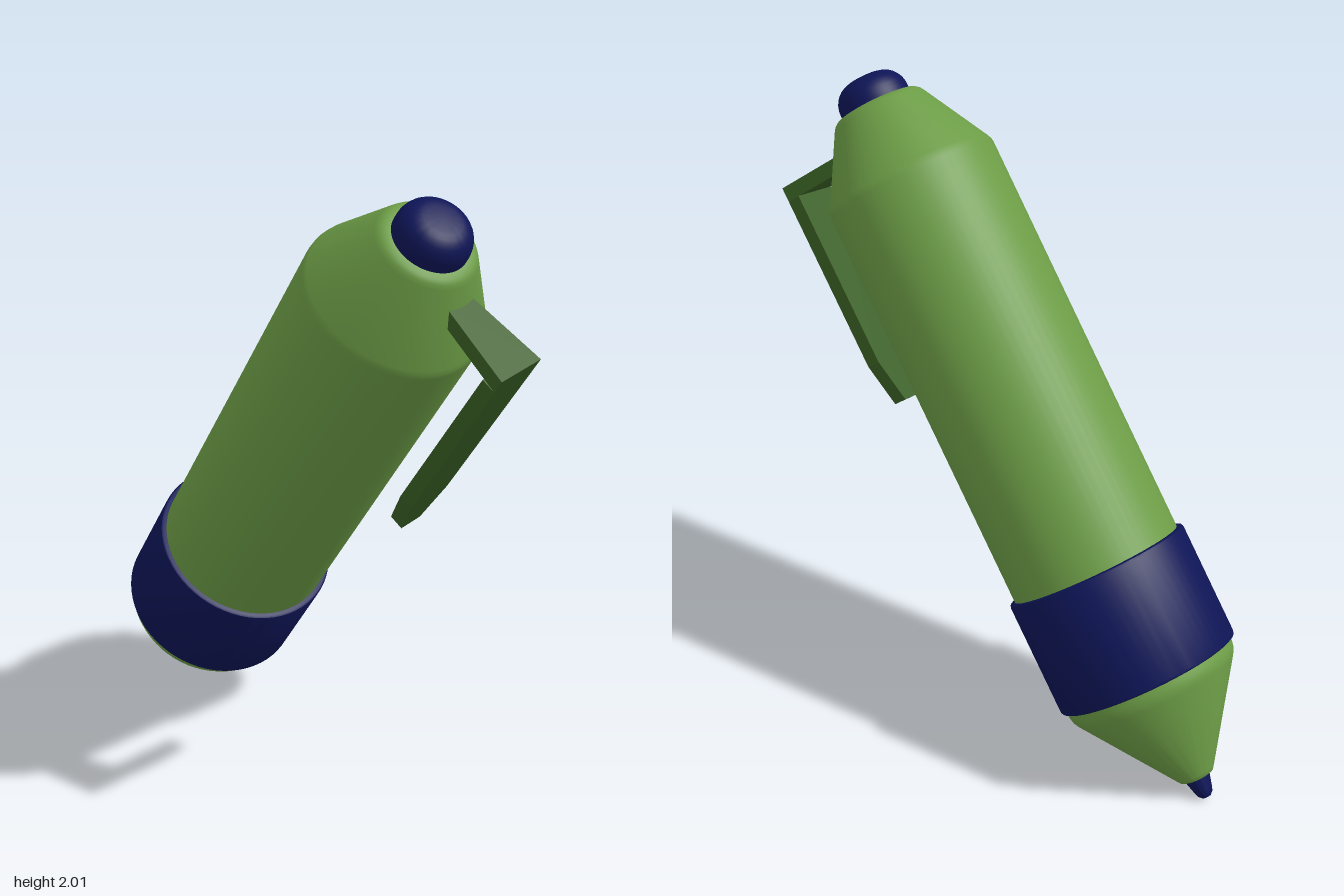
import * as THREE from 'three';
import { toCreasedNormals } from 'three/addons/utils/BufferGeometryUtils.js';

const material = (color) => new THREE.MeshStandardMaterial({ color });

export function createModel() {
  const model = new THREE.Group();
  model.name = 'pen';
  const green = material(0x6c9c46);
  const darkGreen = material(0x3a6024);
  const blue = material(0x0e1556);

  // The pen is built upright along y, then leaned over
  const pen = new THREE.Group();
  pen.name = 'tiltedPen';
  pen.position.set(-0.61, 0.344, -0.097);
  pen.rotation.set(0.159, 0, -0.65);
  model.add(pen);

  const add = (name, geometry, mat, parent = pen) => {
    const mesh = new THREE.Mesh(geometry, mat);
    mesh.name = name;
    parent.add(mesh);
    return mesh;
  };

  // Round parts: profile of [radius, height], bottom to top
  const turned = (name, profile, mat) => {
    const points = profile.map(([r, y]) => new THREE.Vector2(r, y));
    add(name, toCreasedNormals(new THREE.LatheGeometry(points, 64), 0.6), mat);
  };

  turned('writingTip', [
    [0, -0.432], [0.015, -0.43], [0.025, -0.42], [0.03, -0.405], [0.045, -0.35], [0, -0.35],
  ], blue);

  turned('nibCone', [
    [0, -0.362], [0.045, -0.362], [0.056, -0.358], [0.065, -0.346],
    [0.268, -0.055], [0.278, -0.037], [0.282, -0.018], [0.282, 0.01], [0, 0.01],
  ], green);

  turned('gripCollar', [
    [0.2, 0], [0.29, 0], [0.296, 0.003], [0.299, 0.01],
    [0.299, 0.371], [0.296, 0.378], [0.29, 0.381], [0.2, 0.381],
  ], blue);

  turned('barrel', [
    [0, 0.3], [0.28, 0.3], [0.28, 1.705], [0.278, 1.718], [0.272, 1.732],
    [0.155, 1.943], [0.147, 1.955], [0.135, 1.964], [0.12, 1.967], [0, 1.967],
  ], green);

  // Push button with a domed top
  const button = [[0, 1.95], [0.115, 1.95], [0.115, 1.985]];
  for (let i = 1; i <= 8; i++) {
    const a = (i / 8) * Math.PI / 2;
    button.push([0.045 + 0.07 * Math.cos(a), 1.985 + 0.073 * Math.sin(a)]);
  }
  button.push([0, 2.064]);
  turned('pushButton', button, blue);

  // Pocket clip: a flat arm that widens outward, and a long tapered strip
  const clip = new THREE.Group();
  clip.name = 'pocketClip';
  pen.add(clip);
  const plate = (points, depth) => new THREE.ExtrudeGeometry(
    new THREE.Shape(points.map(([x, y]) => new THREE.Vector2(x, y))),
    { depth, bevelEnabled: false });

  const arm = plate([[0.17, -0.05], [0.427, -0.084], [0.427, 0.084], [0.17, 0.05]], 0.048);
  arm.rotateX(-Math.PI / 2).translate(0, 1.84, 0);
  add('clipArm', arm, darkGreen, clip);

  const strip = plate([
    [-0.042, 1.105], [0.042, 1.105], [0.082, 1.25], [0.084, 1.84], [-0.084, 1.84], [-0.082, 1.25],
  ], 0.048);
  strip.rotateY(Math.PI / 2).translate(0.379, 0, 0);
  add('clipStrip', strip, darkGreen, clip);

  return model;
}
